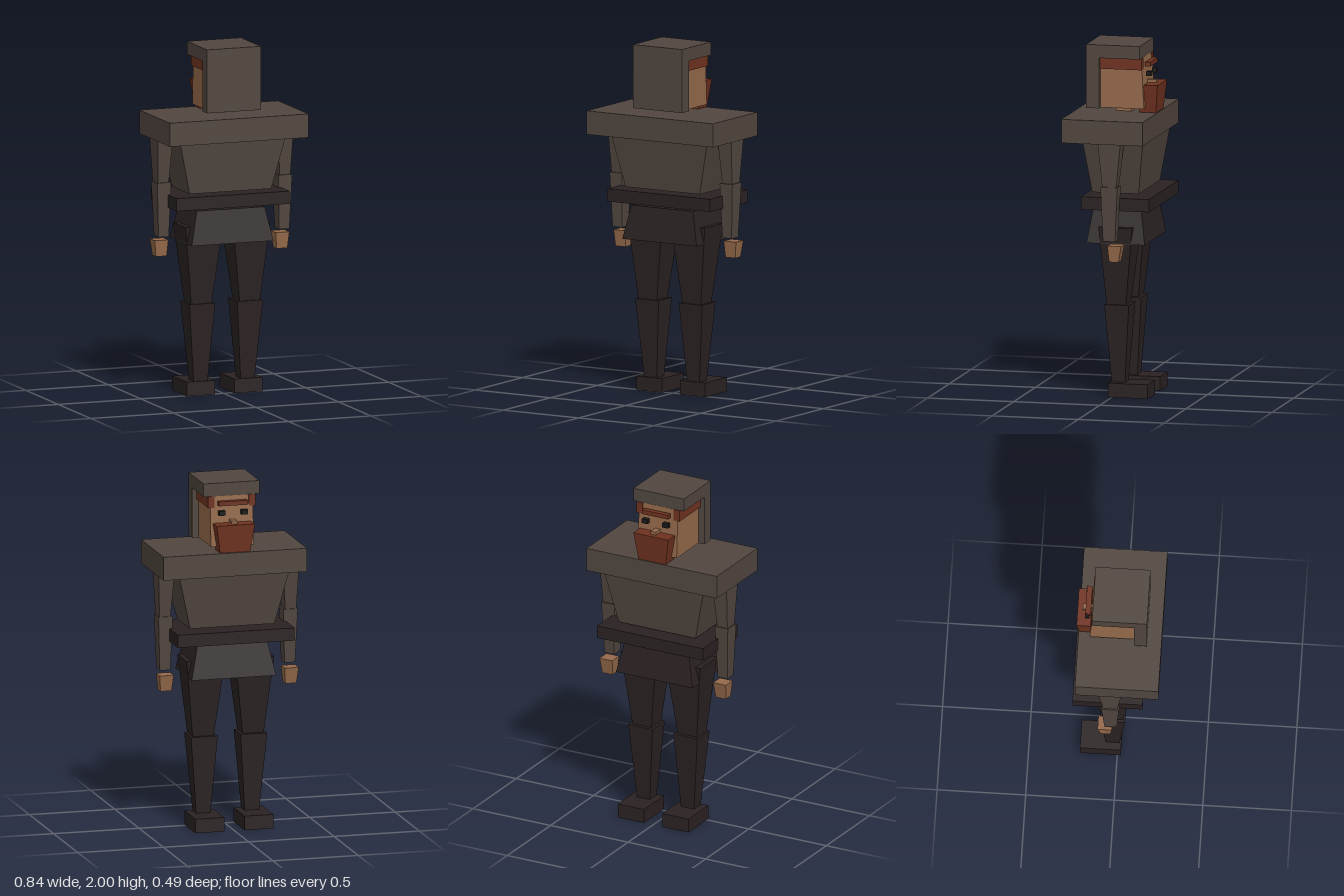
import * as THREE from 'three';

const mat = (name, color) => {
  const m = new THREE.MeshStandardMaterial({ color });
  m.name = name;
  return m;
};

export function createModel() {
  const root = new THREE.Group();
  root.name = 'hoodedMan';

  const cloth = mat('brownCloth', 0x51463f);
  const dark = mat('darkTrousers', 0x2b2222);
  const skin = mat('skin', 0x94694a);
  const hair = mat('redHair', 0x6f3220);
  const black = mat('eyeBlack', 0x1b1a1a);

  // Box between y0 and y1 whose bottom and top are rectangles [x0, x1, z0, z1]
  function block(name, material, y0, y1, bottom, top = bottom, parent = root) {
    const geo = new THREE.BoxGeometry(1, 1, 1);
    const p = geo.attributes.position;
    for (let i = 0; i < p.count; i++) {
      const up = p.getY(i) > 0;
      const r = up ? top : bottom;
      p.setXYZ(i, p.getX(i) > 0 ? r[1] : r[0], up ? y1 : y0, p.getZ(i) > 0 ? r[3] : r[2]);
    }
    geo.computeVertexNormals();
    const mesh = new THREE.Mesh(geo, material);
    mesh.name = name;
    parent.add(mesh);
  }

  // Same block on both sides of the body
  function pair(name, material, y0, y1, bottom, top = bottom, parent = root) {
    const flip = ([a, b, c, d]) => [-b, -a, c, d];
    block(name + 'A', material, y0, y1, bottom, top, parent);
    block(name + 'B', material, y0, y1, flip(bottom), flip(top), parent);
  }

  // Hood: back slab and overhanging top
  const head = new THREE.Group();
  head.name = 'head';
  root.add(head);
  block('hoodBack', cloth, 1.637, 1.925, [-0.163, 0.163, 0.09, 0.164], undefined, head);
  block('hoodTop', cloth, 1.925, 2, [-0.163, 0.163, -0.146, 0.164], undefined, head);

  // Face, hair and beard, looking toward -z
  block('face', skin, 1.637, 1.925, [-0.125, 0.125, -0.162, 0.09], [-0.125, 0.125, -0.147, 0.09], head);
  pair('sideHair', hair, 1.86, 1.925, [0.1, 0.138, -0.152, 0.09], undefined, head);
  block('brow', hair, 1.875, 1.9, [-0.084, 0.084, -0.189, -0.158], undefined, head);
  pair('eye', black, 1.82, 1.846, [0.047, 0.084, -0.191, -0.165], undefined, head);
  block('nose', skin, 1.75, 1.79, [-0.017, 0.017, -0.208, -0.155], undefined, head);
  block('beard', hair, 1.612, 1.772, [-0.088, 0.088, -0.222, -0.125], [-0.112, 0.112, -0.237, -0.158], head);
  block('neck', skin, 1.6, 1.64, [-0.05, 0.05, -0.072, 0.02], undefined, head);

  // Body
  block('shoulders', cloth, 1.475, 1.61, [-0.42, 0.42, -0.227, 0.244]);
  block('torso', cloth, 1.172, 1.475, [-0.247, 0.247, -0.162, 0.108], [-0.32, 0.32, -0.204, 0.147]);
  block('belt', dark, 1.086, 1.159, [-0.342, 0.342, -0.246, 0.15]);
  block('pelvis', dark, 0.88, 1.072, [-0.247, 0.247, -0.197, 0.142], [-0.205, 0.205, -0.166, 0.112]);

  // Arms
  pair('upperArm', cloth, 1.2, 1.475, [0.337, 0.4, -0.067, 0.008], [0.32, 0.41, -0.096, 0.035]);
  pair('forearm', cloth, 0.918, 1.23, [0.334, 0.396, -0.062, 0.008], [0.324, 0.408, -0.078, 0.02]);
  pair('hand', skin, 0.802, 0.895, [0.333, 0.398, -0.083, -0.028], [0.325, 0.407, -0.1, -0.02]);

  // Legs
  pair('thigh', dark, 0.525, 0.975, [0.085, 0.208, -0.077, 0.034], [0.03, 0.256, -0.126, 0.07]);
  pair('shin', dark, 0.08, 0.528, [0.1, 0.184, -0.067, 0.01], [0.067, 0.223, -0.098, 0.044]);
  pair('foot', dark, 0, 0.081, [0.059, 0.228, -0.21, 0.02]);

  return root;
}
